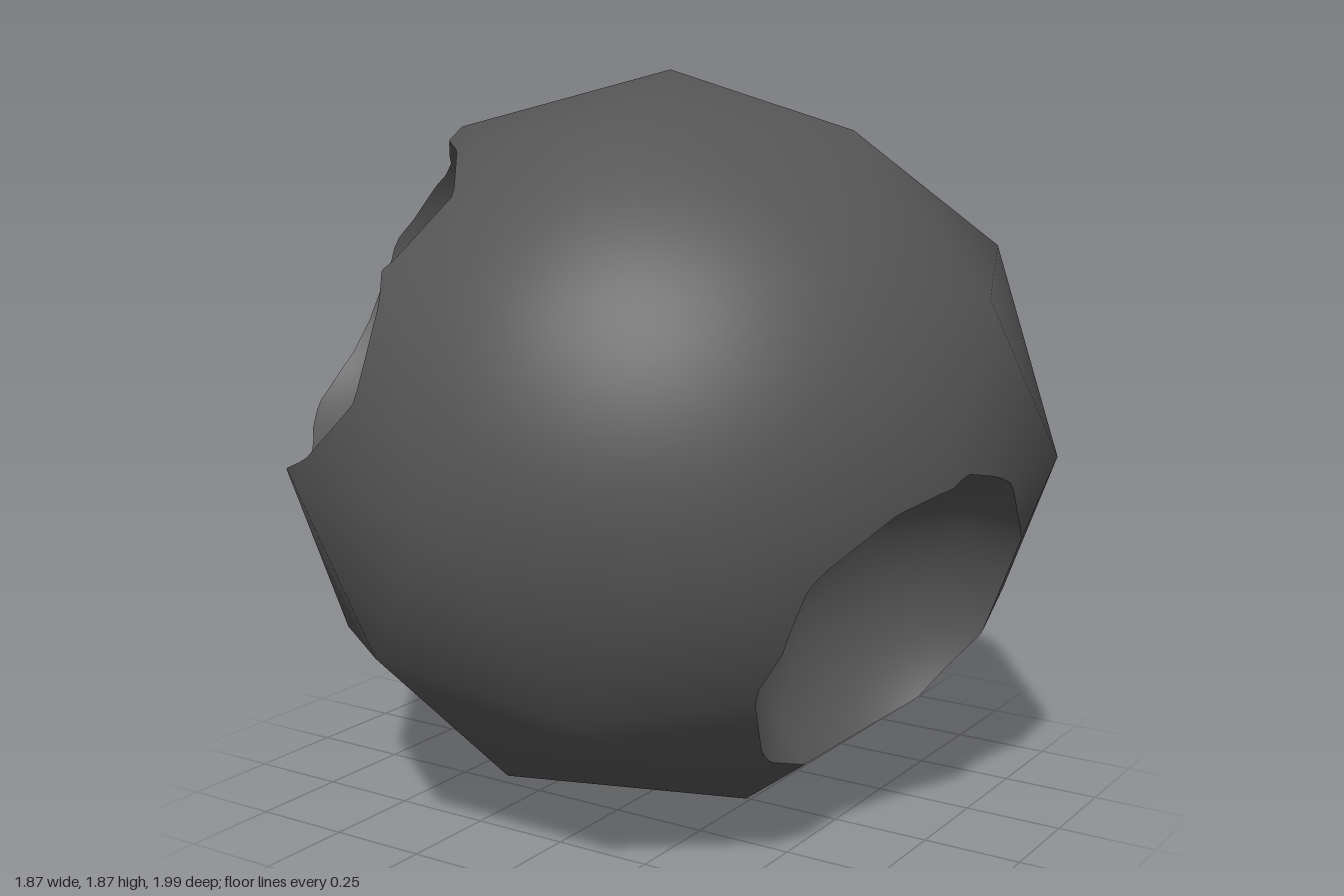
import * as THREE from 'three';

const CENTRE_Y = 0.935;
const SCALE = new THREE.Vector3(0.983, 0.935, 1);

// Craters: ball centre (relative to the body centre) and radius
const CRATERS = [
  { name: 'frontRightCrater', centre: [-0.69, 0.42, 0.59], radius: 0.52 },
  { name: 'leftCrater', centre: [0.886, -0.42, 0.206], radius: 0.48 },
  { name: 'backCrater', centre: [0.305, 0.06, -0.95], radius: 0.36 },
].map((c) => ({ ...c, centre: new THREE.Vector3(...c.centre) }));

// Eighty-sided ball standing on one of its corners
function ballGeometry(radius) {
  return new THREE.IcosahedronGeometry(radius, 1).rotateZ(-Math.atan(2 / (1 + Math.sqrt(5))));
}

// Triangles of a geometry as arrays of three points
function trianglesOf(geometry) {
  const pos = geometry.getAttribute('position');
  const out = [];
  for (let i = 0; i < pos.count; i += 3) {
    out.push([0, 1, 2].map((k) => new THREE.Vector3().fromBufferAttribute(pos, i + k)));
  }
  return out;
}

// Signed distance to a convex solid, positive outside
function distanceTo(faces) {
  const planes = faces.map((f) => new THREE.Plane().setFromCoplanarPoints(...f));
  return (v) => Math.max(...planes.map((p) => p.distanceToPoint(v)));
}

// Split a flat triangle into four, several times over
function split([a, b, c], levels) {
  if (levels === 0) return [[a, b, c]];
  const mid = (p, q) => p.clone().lerp(q, 0.5);
  const ab = mid(a, b), bc = mid(b, c), ca = mid(c, a);
  return [[a, ab, ca], [ab, b, bc], [ca, bc, c], [ab, bc, ca]].flatMap((t) => split(t, levels - 1));
}

// Keep the part of each polygon where the distance function is positive
function clip(polygons, distance) {
  return polygons.map((polygon) => {
    const d = polygon.map(distance);
    const out = [];
    polygon.forEach((p, i) => {
      const j = (i + 1) % polygon.length;
      if (d[i] >= 0) out.push(p);
      if ((d[i] >= 0) !== (d[j] >= 0)) out.push(p.clone().lerp(polygon[j], d[i] / (d[i] - d[j])));
    });
    return out;
  }).filter((p) => p.length > 2);
}

// Fan polygons into a mesh whose normals follow a rule
function buildMesh(name, polygons, normalAt, material) {
  const points = [], normals = [];
  for (const poly of polygons) {
    for (let i = 1; i < poly.length - 1; i++) {
      for (const p of [poly[0], poly[i], poly[i + 1]]) {
        points.push(p.x, p.y, p.z);
        normals.push(...normalAt(p).toArray());
      }
    }
  }
  const g = new THREE.BufferGeometry();
  g.setAttribute('position', new THREE.Float32BufferAttribute(points, 3));
  g.setAttribute('normal', new THREE.Float32BufferAttribute(normals, 3));
  const mesh = new THREE.Mesh(g, material);
  mesh.name = name;
  mesh.position.y = CENTRE_Y;
  return mesh;
}

export function createModel() {
  const group = new THREE.Group();
  group.name = 'crateredRock';
  const rock = new THREE.MeshStandardMaterial({ color: 0x555555 });
  rock.name = 'dark grey rock';

  const bodyFaces = trianglesOf(ballGeometry(1).scale(SCALE.x, SCALE.y, SCALE.z));
  const toBody = distanceTo(bodyFaces);
  let shell = bodyFaces.flatMap((f) => split(f, 4));

  for (const { name, centre, radius } of CRATERS) {
    const ballFaces = trianglesOf(ballGeometry(radius).translate(...centre.toArray()));

    // Cut the crater out of the shell
    shell = clip(shell, distanceTo(ballFaces));

    // Bowl: the part of the ball inside the body, facing inward
    const inward = ballFaces.flatMap((f) => split(f, 3)).map(([a, b, c]) => [a, c, b]);
    const bowl = clip(inward, (v) => -toBody(v));
    group.add(buildMesh(name, bowl, (p) => centre.clone().sub(p).normalize(), rock));
  }

  // Outer shell, shaded smoothly
  const shellNormal = (p) => p.clone().divide(SCALE).divide(SCALE).normalize();
  group.add(buildMesh('shell', shell, shellNormal, rock));
  return group;
}
